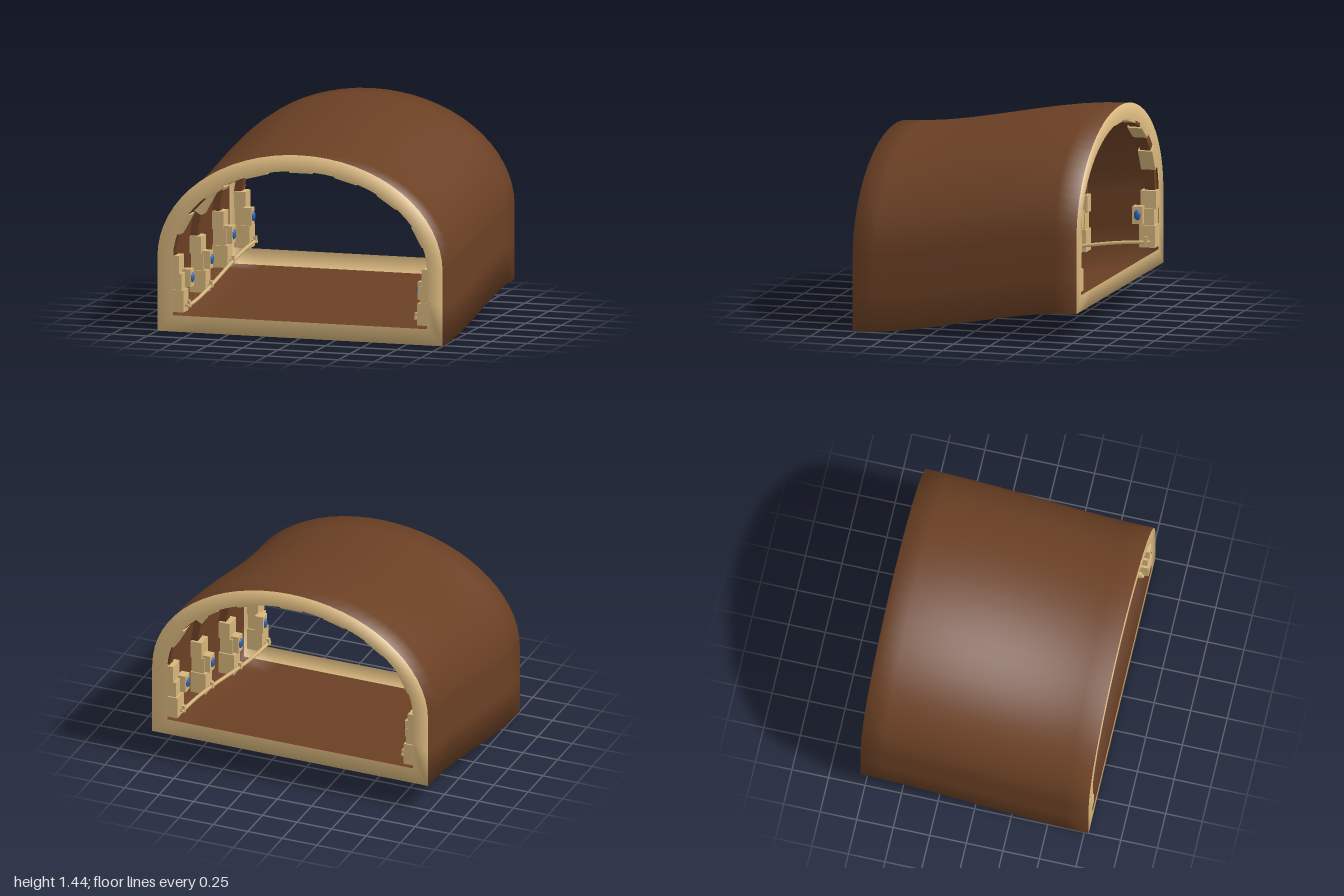
import * as THREE from 'three';

const paint = (name, color, side = THREE.FrontSide) => {
  const m = new THREE.MeshStandardMaterial({ color, side });
  m.name = name;
  return m;
};

const HALF = 0.78;      // half length along z
const SPRING = 0.5;     // height where the arch starts

// gentle S-shaped rise from front to back
const rise = (z) => {
  const t = (HALF - z) / (2 * HALF);
  return 0.2 * t * t * (3 - 2 * t);
};

// closed counter-clockwise section: floor, wall, arch, wall
function section(rx, floorY, ry) {
  const pts = [];
  for (let i = 0; i < 8; i++) pts.push([-rx + (2 * rx * i) / 8, floorY]);
  const wall = SPRING - floorY;
  for (let i = 0; i < 2; i++) pts.push([rx, floorY + (wall * i) / 2]);
  for (let i = 0; i <= 32; i++) {
    const a = (Math.PI * i) / 32;
    pts.push([rx * Math.cos(a), SPRING + ry * Math.sin(a)]);
  }
  pts.push([-rx, floorY + wall / 2]);
  return pts;
}

// thin tunnel shell with a flat rim closing in at both ends
function shellGeometry() {
  const outer = section(1, 0, 0.74);
  const inner = section(0.89, 0.11, 0.63);
  const steps = 10;
  const rings = [[inner, HALF]];
  for (let i = 0; i <= steps; i++) rings.push([outer, HALF - (2 * HALF * i) / steps]);
  rings.push([inner, -HALF]);

  const n = outer.length;
  const pos = [];
  const idx = [];
  const geo = new THREE.BufferGeometry();
  rings.forEach(([pts, z], r) => {
    for (const [x, y] of pts) pos.push(x, y + rise(z), z);
    if (r === rings.length - 1) return;
    const isRim = r === 0 || r === rings.length - 2;
    geo.addGroup(idx.length, n * 6, isRim ? 1 : 0);
    for (let j = 0; j < n; j++) {
      const a = r * n + j;
      const b = r * n + ((j + 1) % n);
      idx.push(a, a + n, b, b, a + n, b + n);
    }
  });
  geo.setAttribute('position', new THREE.Float32BufferAttribute(pos, 3));
  geo.setIndex(idx);
  geo.computeVertexNormals();
  return geo;
}

export function createModel() {
  const model = new THREE.Group();
  model.name = 'tunnel';
  const earth = paint('earth brown', 0x6b4024, THREE.DoubleSide);
  const stone = paint('sandstone', 0xdab87e, THREE.DoubleSide);
  const beam = paint('beam brown', 0x6f4226);
  const block = paint('block sandstone', 0xd6b67c);
  const blue = paint('lamp blue', 0x2c62ad);

  const add = (parent, name, geo, mat, x = 0, y = 0, z = 0) => {
    const mesh = new THREE.Mesh(geo, mat);
    mesh.name = name;
    mesh.position.set(x, y, z);
    parent.add(mesh);
    return mesh;
  };
  const box = (w, h, d) => new THREE.BoxGeometry(w, h, d);

  add(model, 'shellAndRims', shellGeometry(), [earth, stone]);

  // ribs: stacked posts carrying an arch of alternating blocks and beams
  const arch = new THREE.EllipseCurve(0, SPRING, 0.882, 0.622, 0, Math.PI);
  const SEGMENTS = 15;
  const spots = arch.getSpacedPoints(SEGMENTS);
  for (const z of [0.72, 0.24, -0.24, -0.72]) {
    const rib = new THREE.Group();
    rib.name = 'rib';
    rib.position.set(0, rise(z), z);
    model.add(rib);

    for (let i = 0; i < SEGMENTS; i++) {
      const p = spots[i];
      const q = spots[i + 1];
      const isBlock = i % 2 === 1;
      const thick = isBlock ? 0.07 : 0.05;
      const length = p.distanceTo(q) + (isBlock ? 0 : 0.02);
      const angle = Math.atan2(q.y - p.y, q.x - p.x);
      // outward normal of the chord
      const out = thick / 2 + (isBlock ? -0.004 : 0.006);
      const seg = add(rib, isBlock ? 'archBlock' : 'archBeam',
        box(length, thick, isBlock ? 0.1 : 0.07), isBlock ? block : beam,
        (p.x + q.x) / 2 + Math.sin(angle) * out,
        (p.y + q.y) / 2 - Math.cos(angle) * out);
      seg.rotation.z = angle;
    }

    for (const s of [1, -1]) {
      // post stones, slightly uneven
      add(rib, 'postStone', box(0.11, 0.15, 0.11), block, s * 0.875, 0.205);
      add(rib, 'postStone', box(0.09, 0.11, 0.09), block, s * 0.88, 0.335);
      add(rib, 'postStone', box(0.08, 0.12, 0.11), block, s * 0.89, 0.45);

      // lamp on its bracket
      const lampZ = Math.abs(z) > 0.5 ? -Math.sign(z) * 0.06 : 0;
      add(rib, 'lampBracket', box(0.06, 0.12, 0.07), block, s * 0.825, 0.35, lampZ);
      const lamp = add(rib, 'lamp', new THREE.SphereGeometry(1, 16, 10), blue,
        s * 0.797, 0.352, lampZ);
      lamp.scale.set(0.018, 0.036, 0.024);

      // rail support
      add(rib, 'railBracket', box(0.08, 0.02, 0.025), block, s * 0.825, 0.17);
      add(rib, 'railStud', box(0.02, 0.045, 0.025), block, s * 0.797, 0.185);
    }
  }

  // side rails following the slope
  for (const s of [1, -1]) {
    const pts = [];
    for (let i = 0; i <= 10; i++) {
      const z = 0.75 - 0.15 * i;
      pts.push(new THREE.Vector3(s * 0.8, 0.17 + rise(z), z));
    }
    const path = new THREE.CatmullRomCurve3(pts);
    add(model, 'rail', new THREE.TubeGeometry(path, 24, 0.012, 8), block);
  }
  return model;
}
